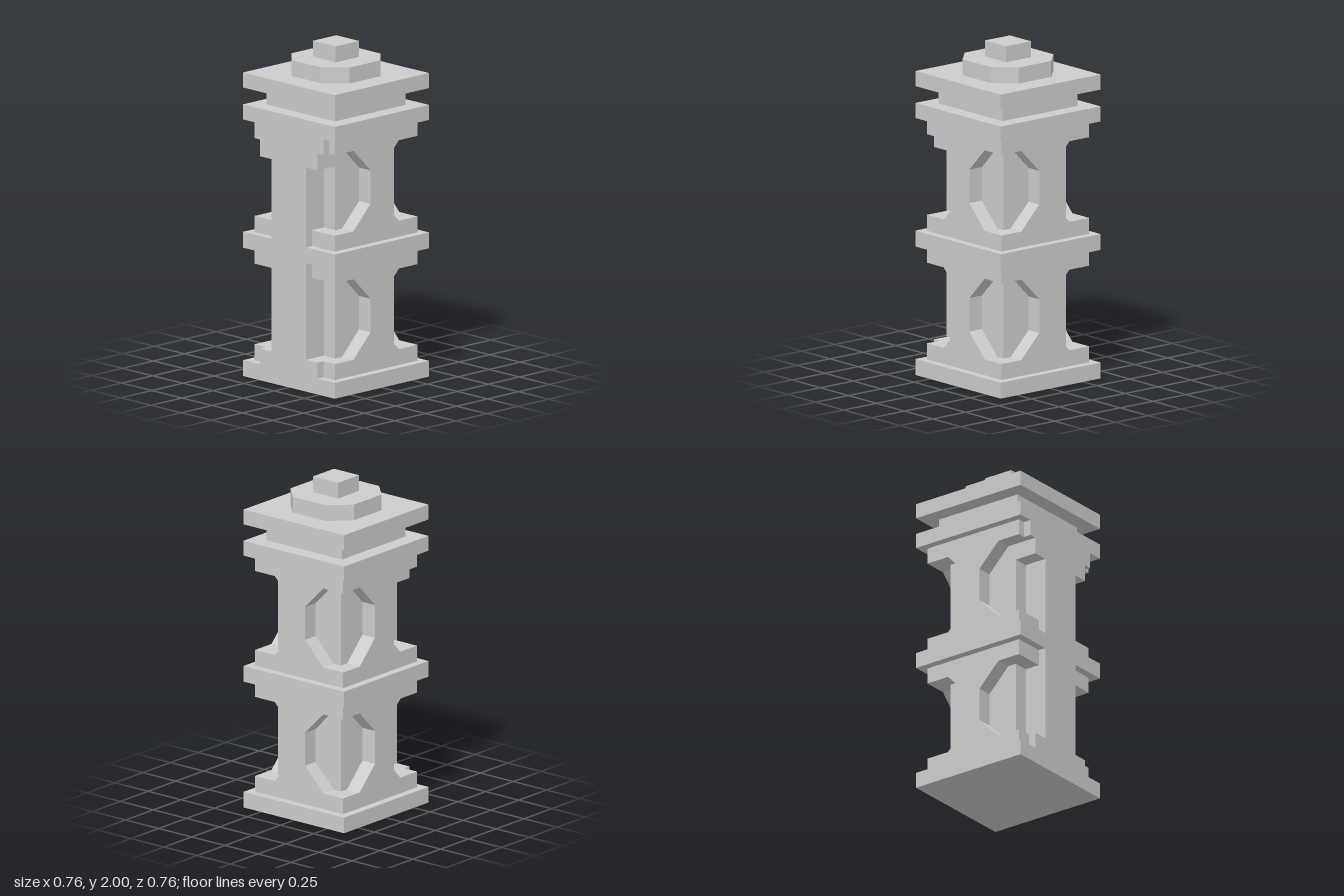
import * as THREE from 'three';

export function createModel() {
  const tower = new THREE.Group();
  tower.name = 'stoneTower';
  const stone = new THREE.MeshStandardMaterial({ color: 0xcccccc });
  stone.name = 'stone grey';

  const add = (name, geometry, parent = tower) => {
    const mesh = new THREE.Mesh(geometry, stone);
    mesh.name = name;
    parent.add(mesh);
    return mesh;
  };
  // Box given by half width, y range and z range
  const block = (name, half, y0, y1, z0 = -half, z1 = half) => {
    const g = new THREE.BoxGeometry(half * 2, y1 - y0, z1 - z0);
    g.translate(0, (y0 + y1) / 2, (z0 + z1) / 2);
    return add(name, g);
  };
  const extrude = (points, depth) => new THREE.ExtrudeGeometry(
    new THREE.Shape(points.map(([x, y]) => new THREE.Vector2(x, y))),
    { depth, bevelEnabled: false });

  const SLAB = 0.38, BODY = 0.333, CORE = 0.238;

  // Projecting square slabs and the neck under the roof
  block('baseSlab', SLAB, 0, 0.095);
  block('middleSlab', SLAB, 0.765, 0.86);
  block('corniceSlab', SLAB, 1.53, 1.62);
  block('neck', 0.285, 1.62, 1.72);
  block('roofSlab', SLAB, 1.72, 1.81);

  // Octagonal cap and square finial
  const a = 0.24, b = 0.124;
  const cap = extrude([[a, -b], [a, b], [b, a], [-b, a], [-a, b], [-a, -b], [-b, -a], [b, -a]], 0.095);
  cap.rotateX(-Math.PI / 2);
  add('octagonCap', cap).position.y = 1.81;
  block('finial', 0.095, 1.905, 2);

  // Two storeys: core, end bands and waisted panels on the sides and back
  for (const [name, y0, y1] of [['lower', 0.095, 0.765], ['upper', 0.86, 1.53]]) {
    const lo = y0 + 0.095, hi = y1 - 0.095;
    block(name + 'Core', CORE, y0, y1);
    block(name + 'BottomBand', BODY, y0, lo);
    block(name + 'TopBand', BODY, hi, y1);
    const wide = 0.183, slim = 0.046, rise = 0.14;
    const panel = extrude([
      [-wide, lo], [wide, lo], [slim, lo + rise], [slim, hi - rise],
      [wide, hi], [-wide, hi], [-slim, hi - rise], [-slim, lo + rise],
    ], BODY - CORE);
    panel.translate(0, 0, CORE);
    for (const [side, angle] of [['Left', Math.PI / 2], ['Back', Math.PI], ['Right', -Math.PI / 2]]) {
      add(name + side + 'Panel', panel).rotation.y = angle;
    }
  }

  // Front pilaster with a stepped foot and head
  block('frontPilaster', 0.143, 0.05, 1.55, 0.2, SLAB);
  block('pilasterFoot', CORE, 0.05, 0.19, 0.2, SLAB);
  block('pilasterLowerStep', CORE, 1.335, 1.45, 0.2, SLAB);
  block('pilasterUpperStep', 0.285, 1.435, 1.55, 0.2, SLAB);

  return tower;
}
